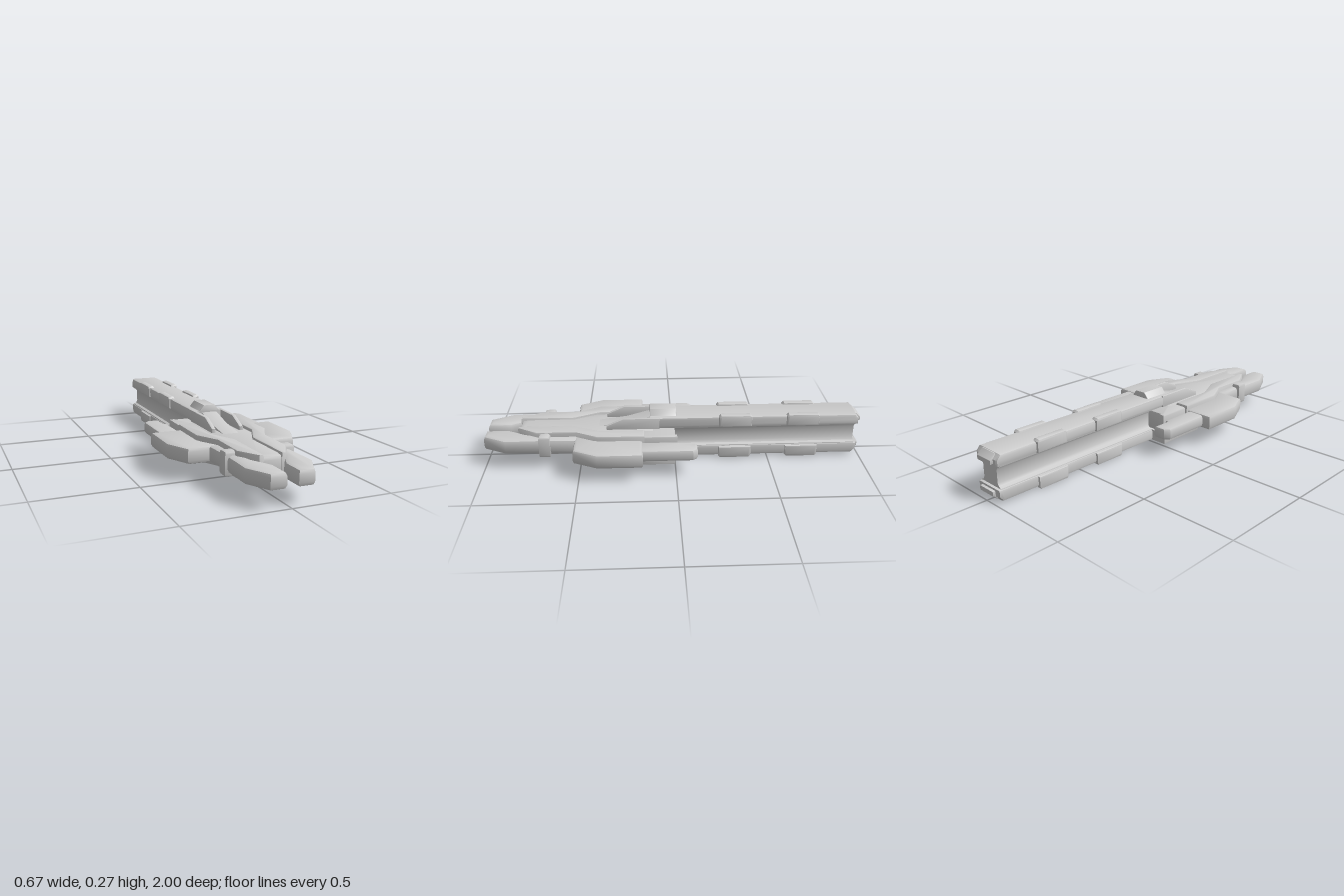
import * as THREE from 'three';
import { toCreasedNormals } from 'three/addons/utils/BufferGeometryUtils.js';

const material = new THREE.MeshStandardMaterial({ color: 0xcccccc, side: THREE.DoubleSide });
const MID = 0.125; // height of the horizontal symmetry plane

// Chamfered extrusion of an outline, of the given total depth
function extrude(points, depth, bevel) {
  const shape = new THREE.Shape(points.map(([a, b]) => new THREE.Vector2(a, b)));
  return new THREE.ExtrudeGeometry(shape, {
    depth: depth - 2 * bevel, bevelEnabled: bevel > 0, bevelThickness: bevel,
    bevelSize: bevel, bevelOffset: -bevel, bevelSegments: 2,
  }).translate(0, 0, bevel);
}

// Outline in (x, z), raised from y0 to y1
const slab = (points, y0, y1, bevel = 0.015) =>
  extrude(points, y1 - y0, bevel).rotateX(Math.PI / 2).translate(0, y1, 0);

// Outline in (z, y), spanning x0 to x1
const prism = (points, x0, x1, bevel = 0.01) =>
  extrude(points, x1 - x0, bevel).rotateY(-Math.PI / 2).translate(x1, 0, 0);

const rect = (a0, b0, a1, b1) => [[a0, b0], [a1, b0], [a1, b1], [a0, b1]];
const flipX = (points) => points.map(([x, z]) => [-x, z]);
const flipY = (points) => points.map(([z, y]) => [z, 2 * MID - y]);

export function createModel() {
  const model = new THREE.Group();
  const add = (name, geometry) => {
    const mesh = new THREE.Mesh(toCreasedNormals(geometry, 0.65), material);
    mesh.name = name;
    model.add(mesh);
  };
  const pair = (name, points, y0, y1, bevel) => {
    add(name + 'Left', slab(points, y0, y1, bevel));
    add(name + 'Right', slab(flipX(points), y0, y1, bevel));
  };

  // Long spine with a rounded groove along each side
  const section = [[0.08, 0.2], [0.075, 0.178], [0.06, 0.172], [0.052, 0.158]];
  const side = [...section, ...flipY(section).reverse()];
  const spine = [...side, ...flipX(side).reverse()];
  add('spine', extrude(spine, 1.1, 0).translate(0, 0, -0.97));

  // Upper and lower rails, with paired prongs and armour pads
  const rail = [[-0.985, 0.18], [-0.985, 0.215], [-0.965, 0.24], [0.13, 0.24], [0.13, 0.18]];
  const railEnd = [[-1, 0.19], [-1, 0.212], [-0.97, 0.238], [-0.9, 0.238], [-0.9, 0.19]];
  const prong = [[0.08, 0.175], [0.08, 0.24], [0.27, 0.24], [0.36, 0.2], [0.36, 0.175]];
  const ramp = [[0.1, 0.17], [0.1, 0.24], [0.16, 0.225], [0.25, 0.2], [0.4, 0.18], [0.4, 0.17]];
  for (const [level, f] of [['upper', (p) => p], ['lower', flipY]]) {
    add(level + 'Rail', prism(f(rail), -0.083, 0.083, 0.014));
    add(level + 'RailEnd', prism(f(railEnd), -0.052, 0.052, 0.006));
    add(level + 'Ramp', prism(f(ramp), -0.042, 0.042, 0.004));
    for (const s of [-1, 1]) {
      const span = (a, b) => (s > 0 ? [a, b] : [-b, -a]);
      add(level + 'Prong', prism(f(prong), ...span(0.064, 0.085), 0.005));
      for (const z of [-0.41, -0.77]) {
        const pad = [[z, 0.185], [z, 0.24], [z + 0.01, 0.25], [z + 0.165, 0.25],
          [z + 0.175, 0.24], [z + 0.175, 0.185]];
        add(level + 'Pad', prism(f(pad), ...span(0.054, 0.094), 0.009));
      }
    }
  }

  // Bridge block on top, octagonal in section
  const bridge = [[-0.055, 0.225], [0.055, 0.225], [0.055, 0.24], [0.03, 0.27], [-0.03, 0.27], [-0.055, 0.24]];
  add('bridge', extrude(bridge, 0.14, 0.003).translate(0, 0, -0.01));

  // Central hull running out to the nose
  add('hull', slab([[-0.12, 0.1], [0.12, 0.1], [0.12, 0.42], [0.07, 0.54], [0.07, 0.78], [0.05, 0.82],
    [-0.05, 0.82], [-0.07, 0.78], [-0.07, 0.54], [-0.12, 0.42]], 0.07, 0.18, 0.02));
  // Brackets and belly plate behind the arms
  pair('bracket', [[0.04, 0], [0.14, 0], [0.14, -0.01], [0.172, -0.01], [0.172, 0.2], [0.04, 0.2]], 0.075, 0.178, 0.008);
  const belly = [[0, 0.07], [0.34, 0.07], [0.34, 0.055], [0.27, 0.012], [0, 0.012]];
  add('bellyPlate', prism(belly, -0.17, 0.17, 0.003));

  // Cranked arms framing the hull
  pair('arm', [[0.11, 0.16], [0.185, 0.16], [0.185, 0.4], [0.125, 0.52], [0.125, 0.72],
    [0.065, 0.825], [0.045, 0.825], [0.045, 0.54], [0.11, 0.4]], 0.06, 0.192, 0.01);

  // Wing pods and the engines trailing from them
  pair('wing', [[0.16, 0.17], [0.335, 0.17], [0.335, 0.4], [0.275, 0.525], [0.11, 0.525], [0.16, 0.42]], 0.085, 0.165, 0.018);
  pair('engine', [[0.185, -0.01], [0.2, -0.015], [0.2, -0.11], [0.265, -0.11], [0.287, -0.085],
    [0.287, 0.2], [0.185, 0.2]], 0.095, 0.157, 0.014);

  // Forward claws with a collar around each
  pair('claw', [[0.09, 0.5], [0.172, 0.5], [0.16, 0.65], [0.165, 0.88], [0.105, 1], [0.028, 1],
    [0.028, 0.88], [0.08, 0.78]], 0.085, 0.165, 0.02);
  pair('collar', rect(0.09, 0.65, 0.173, 0.708), 0.068, 0.185, 0.012);

  return model;
}
